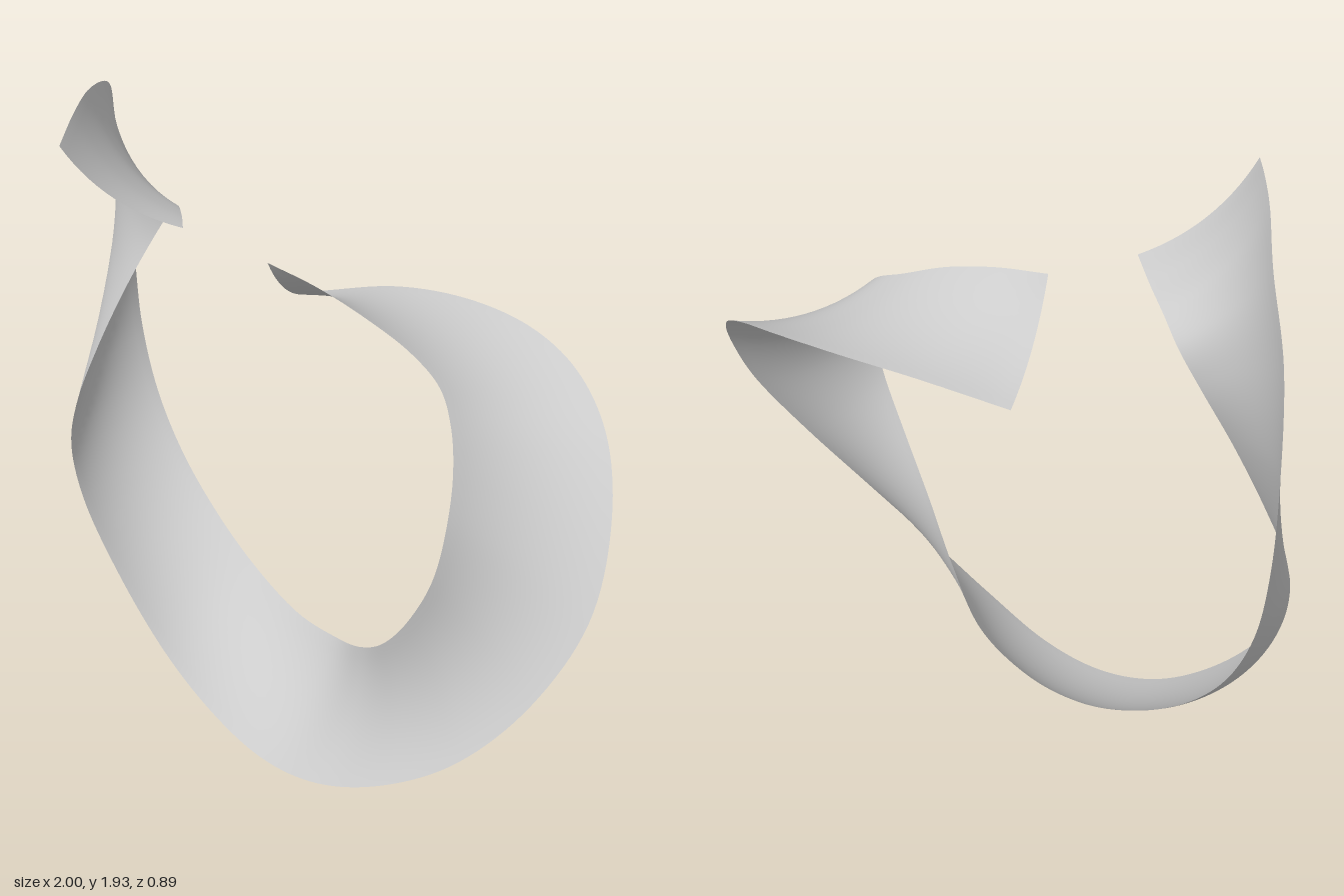
import * as THREE from 'three';

// Paired points along the two long edges of the ribbon
const EDGE_A = [
  [-.44, 1.88, .44], [-.54, 1.92, .31], [-.65, 1.93, .17], [-.78, 1.88, 0], [-.9, 1.72, -.11],
  [-.98, 1.45, -.205], [-1, 1.2, -.24], [-.97, .97, -.235], [-.89, .76, -.225], [-.76, .58, -.215],
  [-.58, .425, -.205], [-.38, .315, -.19], [-.15, .26, -.16], [.07, .29, -.12], [.25, .385, -.04],
  [.42, .525, .04], [.55, .69, .08], [.635, .86, .09], [.66, 1.02, .075], [.64, 1.16, .035],
  [.59, 1.27, -.005], [.52, 1.345, -.035], [.41, 1.405, -.04], [.27, 1.47, -.01], [.11, 1.52, .02],
  [-.05, 1.55, .05],
];
const EDGE_B = [
  [-.25, 1.63, .18], [-.35, 1.62, .1], [-.45, 1.6, .03], [-.53, 1.55, -.01], [-.6, 1.45, 0],
  [-.68, 1.28, .05], [-.76, 1.07, .11], [-.81, .88, .165], [-.82, .74, .19], [-.77, .57, .195],
  [-.62, .345, .185], [-.4, .14, .18], [-.17, .03, .185], [.07, 0, .2], [.32, .055, .21],
  [.57, .18, .185], [.78, .345, .12], [.93, .56, .01], [1, .8, -.12], [.96, 1.02, -.235],
  [.85, 1.2, -.34], [.69, 1.31, -.415], [.5, 1.37, -.45], [.28, 1.395, -.435], [.05, 1.385, -.37],
  [-.18, 1.33, -.26],
];
const LENGTH_STEPS = 200, WIDTH_STEPS = 14, BOW = 0.04;

const curve = (pts) => new THREE.CatmullRomCurve3(pts.map((p) => new THREE.Vector3(...p)));

export function createModel() {
  const a = curve(EDGE_A), b = curve(EDGE_B);
  const geo = new THREE.PlaneGeometry(1, 1, WIDTH_STEPS, LENGTH_STEPS);
  const pos = geo.attributes.position;
  const p = new THREE.Vector3();
  let i = 0;
  for (let r = 0; r <= LENGTH_STEPS; r++) {
    const t = r / LENGTH_STEPS;
    const pa = a.getPoint(t), pb = b.getPoint(t);
    const along = a.getTangent(t).add(b.getTangent(t));
    const normal = pb.clone().sub(pa).cross(along).normalize();
    // Cross-section: a shallow arc bowed away from the normal
    for (let c = 0; c <= WIDTH_STEPS; c++) {
      const s = c / WIDTH_STEPS;
      p.lerpVectors(pa, pb, s).addScaledVector(normal, -BOW * 4 * s * (1 - s));
      pos.setXYZ(i++, p.x, p.y, p.z);
    }
  }
  geo.computeVertexNormals();

  const ribbon = new THREE.Mesh(geo, new THREE.MeshStandardMaterial({ color: 0xcccccc, side: THREE.DoubleSide }));
  ribbon.name = 'twistedRibbon';
  const group = new THREE.Group();
  group.name = 'ribbonLoop';
  group.add(ribbon);
  return group;
}
